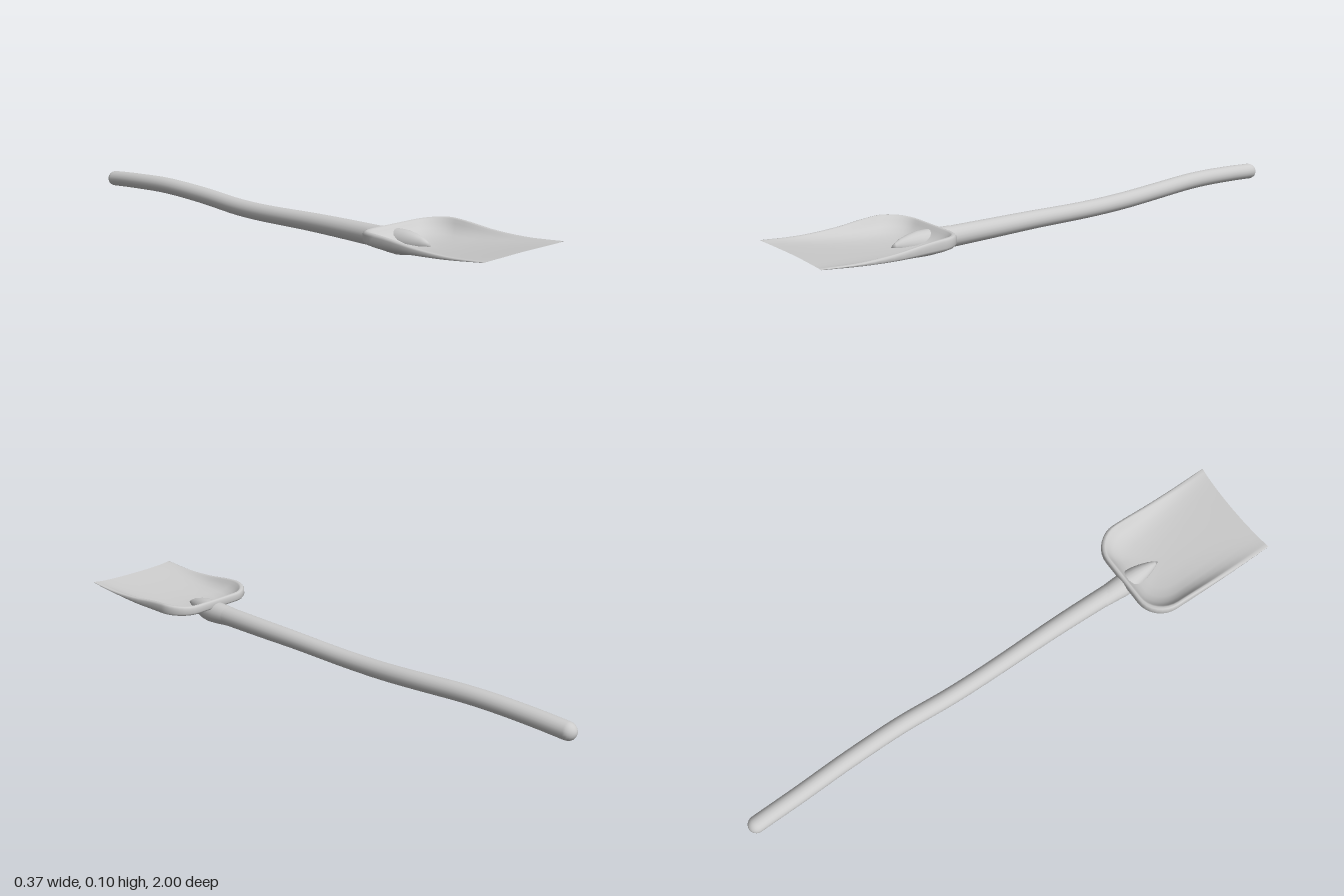
import * as THREE from 'three';
import { mergeVertices } from 'three/addons/utils/BufferGeometryUtils.js';

const material = new THREE.MeshStandardMaterial({ color: 0xcccccc, side: THREE.DoubleSide });

// Smooth surface from rows of points; fn(i, j) returns [x, y, z]
function surface(rows, cols, fn) {
  const pos = [], idx = [];
  for (let i = 0; i <= rows; i++)
    for (let j = 0; j <= cols; j++) pos.push(...fn(i, j));
  for (let i = 0; i < rows; i++)
    for (let j = 0; j < cols; j++) {
      const a = i * (cols + 1) + j, b = a + cols + 1;
      idx.push(a, a + 1, b, b, a + 1, b + 1);
    }
  let g = new THREE.BufferGeometry();
  g.setAttribute('position', new THREE.Float32BufferAttribute(pos, 3));
  g.setIndex(idx);
  g = mergeVertices(g, 1e-5);
  g.computeVertexNormals();
  return g;
}

// Smooth interpolation through [position, value] pairs
function profile(points) {
  return (z) => {
    let k = 0;
    while (k < points.length - 2 && z > points[k + 1][0]) k++;
    const [z0, a] = points[k], [z1, b] = points[k + 1];
    const slope = (m) => {
      const p = points[Math.max(m - 1, 0)], q = points[Math.min(m + 1, points.length - 1)];
      return (q[1] - p[1]) / (q[0] - p[0]);
    };
    const h = z1 - z0, t = THREE.MathUtils.clamp((z - z0) / h, 0, 1), t2 = t * t, t3 = t2 * t;
    return a * (2 * t3 - 3 * t2 + 1) + b * (3 * t2 - 2 * t3)
      + h * slope(k) * (t3 - 2 * t2 + t) + h * slope(k + 1) * (t3 - t2);
  };
}

// Round rod swept along z; stations are [z, x, y, rx, ry]
function rod(stations) {
  const sides = 20;
  return surface(stations.length - 1, sides, (i, j) => {
    const [z, x, y, rx, ry] = stations[i], a = ((j % sides) / sides) * Math.PI * 2;
    return [x + rx * Math.cos(a), y + ry * Math.sin(a), z];
  });
}

const W = 0.187, BACK = 0.505, FRONT = 0.99, CORNER = 0.095;

// Half outline of the blade: back middle, rounded corner, straight side
function outline() {
  const half = [];
  for (let i = 0; i <= 5; i++) half.push([(W - CORNER) * i / 5, BACK]);
  for (let i = 1; i <= 8; i++) {
    const a = (i / 8) * Math.PI / 2;
    half.push([W - CORNER + CORNER * Math.sin(a), BACK + CORNER * (1 - Math.cos(a))]);
  }
  for (let i = 1; i <= 12; i++)
    half.push([W, BACK + CORNER + (FRONT - BACK - CORNER) * i / 12]);
  return [...half.slice(1).reverse().map(([x, z]) => [-x, z]), ...half];
}

function bladeGeometry() {
  const floor = profile([[0.5, 0.035], [0.6, 0.032], [0.7, 0.042], [0.8, 0.057], [0.9, 0.074], [0.99, 0.09]]);
  const rim = profile([[0.5, 0.094], [0.55, 0.101], [0.6, 0.104], [0.66, 0.1], [0.75, 0.09], [0.87, 0.087], [0.99, 0.095]]);
  // Shell section: [inset from the outline, height fraction], underside to inside
  const section = [[W, 0], [0.14, 0], [0.1, 0.03], [0.07, 0.12], [0.04, 0.25], [0.015, 0.4], [0.004, 0.48], [0, 0.6],
    [0, 0.88], [0.004, 0.98], [0.01, 1], [0.015, 0.94], [0.021, 0.78], [0.035, 0.54], [0.055, 0.36], [0.085, 0.24],
    [0.13, 0.18], [W, 0.17]];
  const edge = outline();
  return surface(section.length - 1, edge.length - 1, (i, j) => {
    const [inset, f] = section[i], [x0, z0] = edge[j], length = FRONT - BACK;
    const x = x0 * (1 - inset / W);
    const z = BACK + inset + (z0 - BACK) * (length - inset) / length;
    const y = floor(z) + f * (rim(z) - floor(z));
    return [x, y, z + 0.01 * (x / W) ** 2 * (z0 - BACK) / length];
  });
}

function handleGeometry() {
  const cx = profile([[-1, -0.006], [-0.8, -0.003], [-0.6, 0.005], [-0.4, 0.01], [-0.2, 0.003], [0, 0.002], [0.25, 0.004], [0.52, 0]]);
  const cy = profile([[-1, 0.043], [-0.85, 0.052], [-0.65, 0.058], [-0.45, 0.05], [-0.25, 0.038], [-0.1, 0.036], [0.15, 0.042], [0.52, 0.045]]);
  const r = profile([[-1, 0.029], [-0.4, 0.03], [0, 0.03], [0.3, 0.033], [0.52, 0.035]]);
  const stations = [];
  // Rounded grip end, then the bent shaft
  for (let i = 0; i <= 6; i++) {
    const a = (i / 6) * Math.PI / 2, z = -0.97 - 0.03 * Math.cos(a), s = r(z) * Math.sin(a);
    stations.push([z, cx(z), cy(z), s, s]);
  }
  for (let i = 1; i <= 40; i++) {
    const z = -0.97 + 1.49 * i / 40;
    stations.push([z, cx(z), cy(z), r(z), r(z)]);
  }
  return rod(stations);
}

// Tapered socket running to a point on the blade floor
function socketGeometry() {
  return rod([[0.42, 0, 0.044, 0.033, 0.033], [0.46, 0, 0.044, 0.036, 0.036], [0.5, 0, 0.043, 0.039, 0.039],
    [0.54, 0, 0.043, 0.039, 0.041], [0.57, 0, 0.045, 0.035, 0.039], [0.6, 0, 0.047, 0.028, 0.032],
    [0.63, 0, 0.049, 0.018, 0.022], [0.65, 0, 0.05, 0.009, 0.011], [0.665, 0, 0.05, 0, 0]]);
}

export function createModel() {
  const group = new THREE.Group();
  group.name = 'shovel';
  const parts = { blade: bladeGeometry(), handle: handleGeometry(), socket: socketGeometry() };
  for (const [name, geometry] of Object.entries(parts)) {
    const mesh = new THREE.Mesh(geometry, material);
    mesh.name = name;
    group.add(mesh);
  }
  return group;
}
